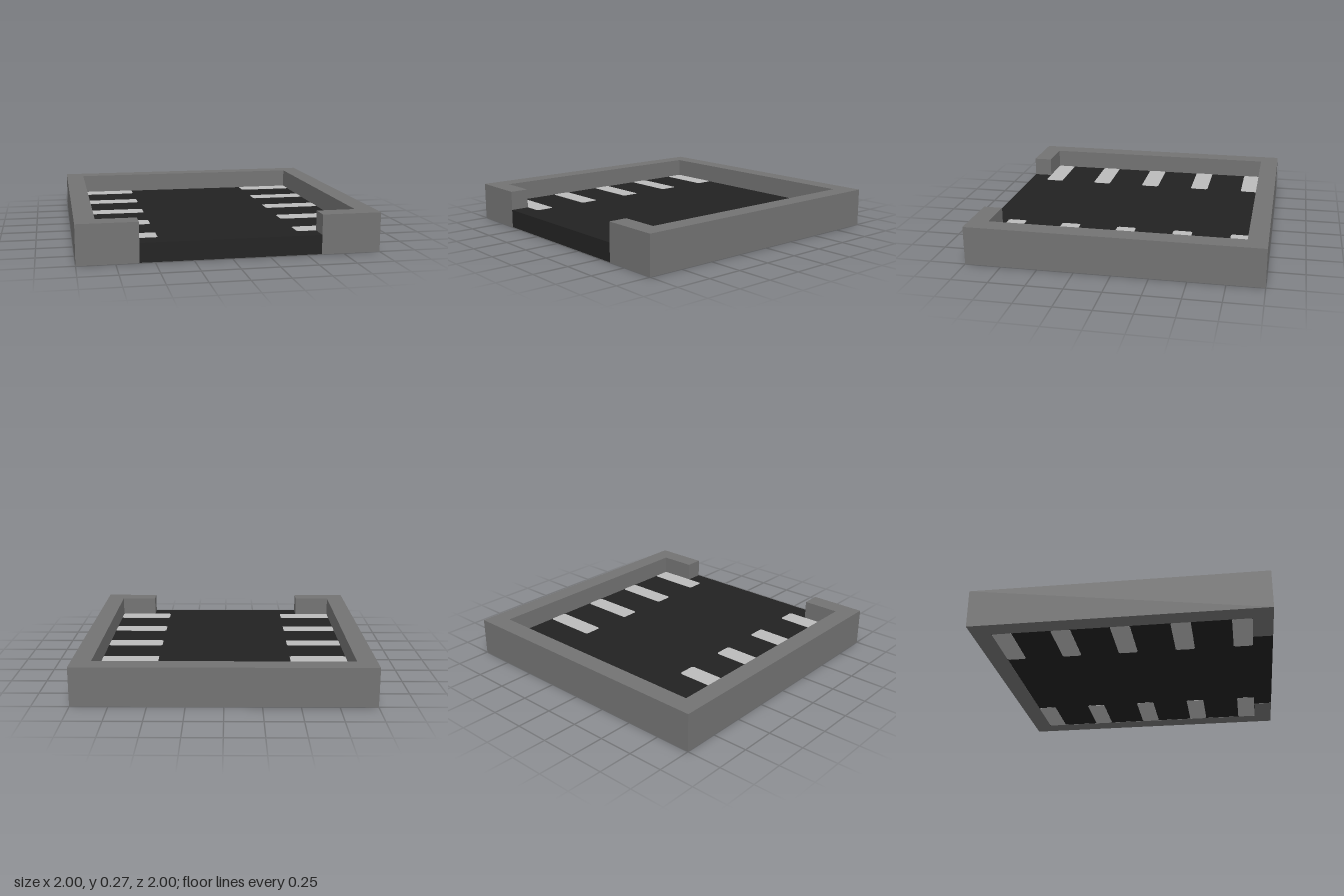
import * as THREE from 'three';

const grey = new THREE.MeshStandardMaterial({ color: 0x737373 });
grey.name = 'wallGrey';
const black = new THREE.MeshStandardMaterial({ color: 0x222222 });
black.name = 'floorBlack';
const silver = new THREE.MeshStandardMaterial({ color: 0xbbbbbb });
silver.name = 'stripeSilver';

// Upright slab from a plan outline given as [x, z] points
function slab(name, plan, bottom, top, material) {
  const shape = new THREE.Shape(plan.map(([x, z]) => new THREE.Vector2(x, -z)));
  const geometry = new THREE.ExtrudeGeometry(shape, { depth: top - bottom, bevelEnabled: false });
  geometry.rotateX(-Math.PI / 2).translate(0, bottom, 0);
  const mesh = new THREE.Mesh(geometry, material);
  mesh.name = name;
  return mesh;
}

export function createModel() {
  const group = new THREE.Group();
  group.name = 'tray';
  const inner = 0.867, gap = 0.6, floorTop = 0.133, wallTop = 0.267, skin = 0.002;

  // Rim with an opening at the front
  group.add(slab('rim', [
    [-gap, 1], [-1, 1], [-1, -1], [1, -1], [1, 1], [gap, 1],
    [gap, inner], [inner, inner], [inner, -inner], [-inner, -inner], [-inner, inner], [-gap, inner],
  ], 0, wallTop, grey));

  // Floor, reaching out through the opening
  group.add(slab('floor', [
    [-gap, 1], [-gap, inner], [-inner, inner], [-inner, -inner],
    [inner, -inner], [inner, inner], [gap, inner], [gap, 1],
  ], skin, floorTop - skin, black));

  // Five stripes per side, on the top and underside of the floor
  const halfX = 0.2, halfZ = 0.0665, cut = 0.012;
  for (const side of [-1, 1]) {
    for (let i = 0; i < 5; i++) {
      const x = side * 0.667, z = -0.8 + i * 0.4;
      const plan = [
        [-halfX, -halfZ + cut], [-halfX + cut, -halfZ], [halfX - cut, -halfZ], [halfX, -halfZ + cut],
        [halfX, halfZ - cut], [halfX - cut, halfZ], [-halfX + cut, halfZ], [-halfX, halfZ - cut],
      ].map(([px, pz]) => [x + px, z + pz]);
      const label = (side > 0 ? 'left' : 'right') + 'Stripe' + (i + 1);
      group.add(slab(label + 'Top', plan, floorTop - 2 * skin, floorTop, silver));
      group.add(slab(label + 'Underside', plan, 0, 2 * skin, silver));
    }
  }
  return group;
}
